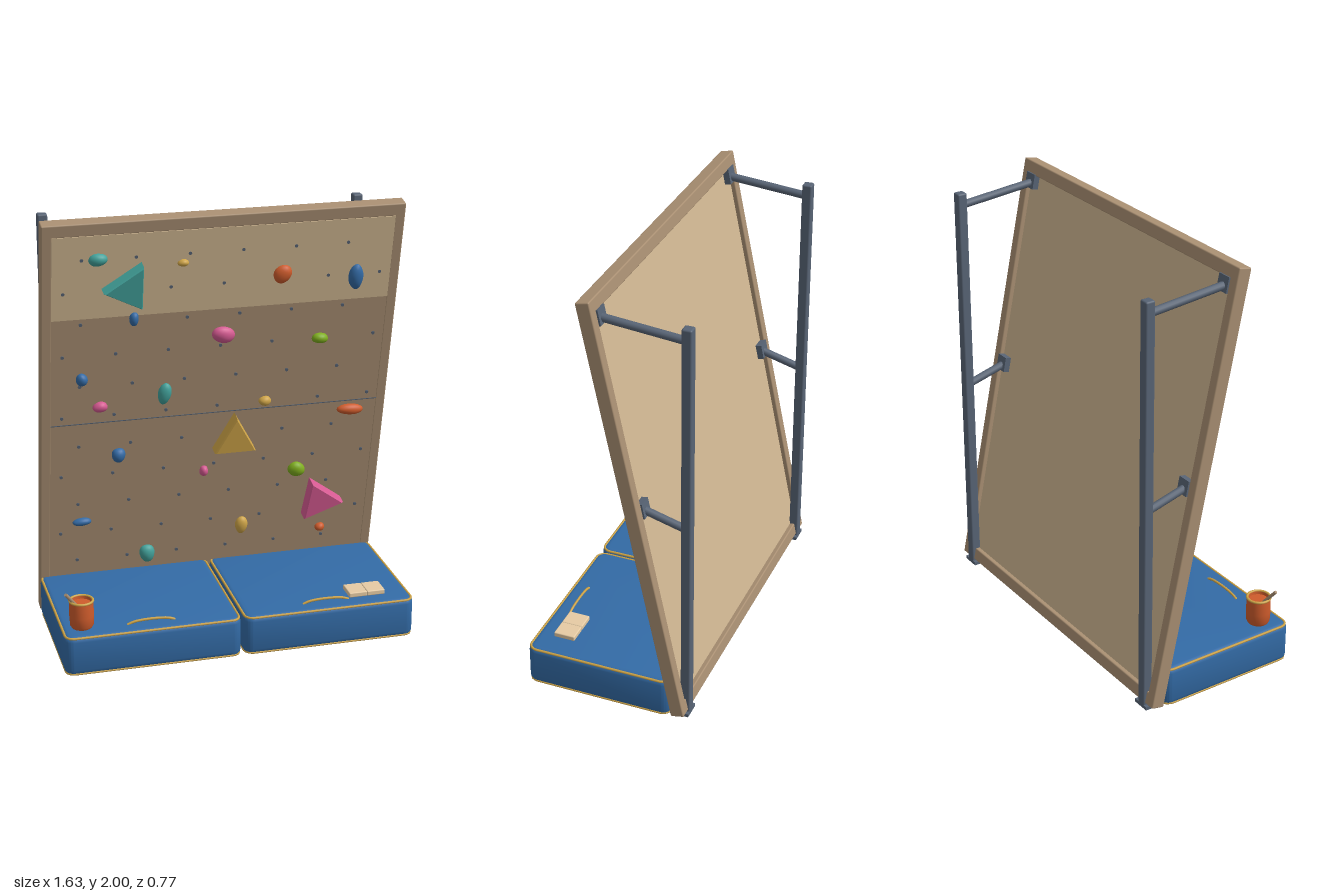
import * as THREE from 'three';
import { mergeGeometries, mergeVertices, toCreasedNormals } from 'three/addons/utils/BufferGeometryUtils.js';
import { RoundedBoxGeometry } from 'three/addons/geometries/RoundedBoxGeometry.js';

const material = (name, color) => {
  const m = new THREE.MeshStandardMaterial({ color });
  m.name = name;
  return m;
};

const TILT = 0.2042, FOOT_Y = 0.012, WALL_H = 2.017, WALL_T = 0.063;

export function createModel() {
  const wood = material('frame wood', 0xa98f72);
  const ply = material('light plywood', 0xd0b792);
  const steel = material('steel', 0x586475);
  const blue = material('blue', 0x336ba6);
  const gold = material('gold', 0xcfa548);
  const orange = material('orange', 0xcf5c2c);
  const teal = material('teal', 0x42a29b);
  const pink = material('pink', 0xd65a92);
  const green = material('green', 0x7fae1e);
  const chalkWhite = material('chalk', 0xe6cba4);

  const model = new THREE.Group();
  model.name = 'climbingWall';
  const add = (parent, name, geometry, mat, x = 0, y = 0, z = 0) => {
    const mesh = new THREE.Mesh(geometry, mat);
    mesh.name = name;
    mesh.position.set(x, y, z);
    parent.add(mesh);
    return mesh;
  };
  const box = (w, h, d) => new THREE.BoxGeometry(w, h, d);
  const rbox = (w, h, d, r) => new RoundedBoxGeometry(w, h, d, 2, r);

  // Leaning wall: local y runs up the slope, the climbing face is at local z = 0
  const wall = new THREE.Group();
  wall.name = 'wall';
  wall.position.set(0, FOOT_Y, -0.315);
  wall.rotation.x = TILT;
  model.add(wall);
  const up = (y) => (y - FOOT_Y) / Math.cos(TILT);

  for (const s of [-1, 1]) add(wall, 'sideRail', rbox(0.048, WALL_H, WALL_T, 0.006), wood, s * 0.791, WALL_H / 2, -WALL_T / 2);
  for (const y of [0.03, WALL_H - 0.03]) add(wall, 'crossRail', rbox(1.63, 0.06, WALL_T, 0.006), wood, 0, y, -WALL_T / 2);
  add(wall, 'frontBoard', box(1.56, WALL_H - 0.08, 0.02), wood, 0, WALL_H / 2, -0.011);
  add(wall, 'backBoard', box(1.56, WALL_H - 0.08, 0.02), ply, 0, WALL_H / 2, -0.031);
  add(wall, 'lightBand', box(1.54, 0.4, 0.004), ply, 0, up(1.735), 0.001);
  add(wall, 'boardSeam', box(1.54, 0.004, 0.003), steel, 0, up(1.01), -0.0005);

  // Staggered grid of bolt holes
  const dots = [];
  for (let row = 0; row < 11; row++) {
    const even = row % 2 === 0;
    for (let i = 0; i < (even ? 6 : 7); i++) {
      const dot = new THREE.CylinderGeometry(0.008, 0.008, 0.005, 8).rotateX(Math.PI / 2);
      dots.push(dot.translate((even ? -0.64 : -0.72) + i * 0.24, up(1.82 - row * 0.1545), 0.002));
    }
  }
  add(wall, 'boltHoles', mergeGeometries(dots), steel);

  // Lumpy rounded holds: colour, x, world y, width, height, roll
  const pebble = (seed) => {
    const g = new THREE.IcosahedronGeometry(1, 3);
    g.deleteAttribute('normal');
    g.deleteAttribute('uv');
    const merged = mergeVertices(g);
    const p = merged.attributes.position;
    for (let i = 0; i < p.count; i++) {
      const x = p.getX(i), y = p.getY(i), z = p.getZ(i);
      const k = 1 + 0.07 * Math.sin(2.6 * x + seed) * Math.cos(2.2 * y - seed * 1.7);
      p.setXYZ(i, x * k, y * k, z * k);
    }
    merged.computeVertexNormals();
    return merged;
  };
  const holds = [
    [teal, -0.57, 1.82, 0.085, 0.058, 0.1], [gold, -0.19, 1.778, 0.05, 0.033, 0],
    [orange, 0.265, 1.69, 0.083, 0.088, 0], [blue, 0.61, 1.65, 0.067, 0.122, 0],
    [blue, -0.402, 1.523, 0.043, 0.068, 0], [pink, 0.01, 1.41, 0.106, 0.08, 0],
    [green, 0.466, 1.353, 0.08, 0.05, -0.1], [blue, -0.632, 1.24, 0.053, 0.06, 0],
    [pink, -0.545, 1.093, 0.068, 0.05, 0], [teal, -0.25, 1.135, 0.06, 0.106, -0.1],
    [gold, 0.227, 1.05, 0.058, 0.047, 0], [blue, -0.455, 0.833, 0.065, 0.073, 0],
    [orange, 0.645, 0.965, 0.128, 0.053, 0], [pink, -0.047, 0.703, 0.042, 0.053, 0],
    [green, 0.405, 0.663, 0.083, 0.073, -0.2], [blue, -0.62, 0.488, 0.088, 0.038, 0],
    [gold, 0.153, 0.38, 0.058, 0.09, 0], [orange, 0.55, 0.32, 0.048, 0.042, 0],
    [teal, -0.304, 0.275, 0.074, 0.095, 0.1],
  ];
  holds.forEach(([mat, x, y, w, h, roll], i) => {
    const hold = add(wall, 'hold', pebble(i * 1.3), mat, x, up(y), 0.004);
    hold.scale.set(w / 2, h / 2, Math.min(0.03, 0.012 + Math.min(w, h) * 0.28));
    hold.rotation.z = roll;
  });

  // Triangular volumes: corners as x, world y
  const volumes = [
    [teal, [-0.55, 1.68], [-0.376, 1.592], [-0.376, 1.795]],
    [gold, [-0.011, 0.82], [0.185, 0.82], [0.085, 1.0]],
    [pink, [0.45, 0.408], [0.64, 0.482], [0.476, 0.605]],
  ];
  for (const [mat, ...corners] of volumes) {
    const shape = new THREE.Shape(corners.map(([x, y]) => new THREE.Vector2(x, up(y))));
    const g = new THREE.ExtrudeGeometry(shape, {
      depth: 0.054, bevelThickness: 0.008, bevelSize: 0.006, bevelOffset: -0.006, bevelSegments: 1,
    });
    add(wall, 'triangleVolume', g, mat);
  }

  // Rear support posts with struts and brackets
  const strut = (x, a, b) => {
    const A = new THREE.Vector3(x, ...a), B = new THREE.Vector3(x, ...b);
    const m = add(model, 'strut', new THREE.CylinderGeometry(0.018, 0.018, A.distanceTo(B), 12), steel);
    m.position.copy(A).lerp(B, 0.5);
    m.quaternion.setFromUnitVectors(new THREE.Vector3(0, 1, 0), B.sub(A).normalize());
  };
  for (const s of [-1, 1]) {
    const x = s * 0.737;
    add(model, 'post', rbox(0.046, 1.93, 0.046, 0.008), steel, x, 0.965, -0.361);
    add(model, 'footPlate', box(0.085, 0.016, 0.085), steel, x, 0.008, -0.341);
    strut(x, [1.905, 0.03], [1.87, -0.355]);
    strut(x, [1.028, -0.15], [0.972, -0.355]);
    for (const y of [1.9, 1.02]) add(wall, 'bracket', box(0.066, 0.07, 0.03), steel, x, up(y), -0.055);
  }

  // Crash pads with piping around the top and bottom edges
  const roundedRect = (w, h, r) => {
    const a = w / 2, b = h / 2, q = Math.PI / 2;
    const s = new THREE.Shape();
    s.absarc(a - r, b - r, r, 0, q);
    s.absarc(r - a, b - r, r, q, 2 * q);
    s.absarc(r - a, r - b, r, 2 * q, 3 * q);
    s.absarc(a - r, r - b, r, 3 * q, 4 * q);
    s.closePath();
    return s;
  };
  const PAD_H = 0.188, BEVEL = 0.025;
  for (const s of [-1, 1]) {
    const pad = new THREE.Group();
    pad.name = 'crashPad';
    pad.position.set(s * 0.411, 0.006, 0.038);
    pad.rotation.x = -Math.PI / 2;
    model.add(pad);
    const g = new THREE.ExtrudeGeometry(roundedRect(0.81, 0.69, 0.045), {
      depth: PAD_H - 2 * BEVEL, bevelThickness: BEVEL, bevelSize: BEVEL, bevelOffset: -BEVEL,
      bevelSegments: 4, curveSegments: 6,
    });
    add(pad, 'padBody', toCreasedNormals(g, 0.6), blue, 0, 0, BEVEL);
    const outline = roundedRect(0.796, 0.676, 0.038).getSpacedPoints(120).slice(0, -1);
    const path = new THREE.CatmullRomCurve3(outline.map((p) => new THREE.Vector3(p.x, p.y, 0)), true);
    for (const z of [0.007, PAD_H - 0.007]) add(pad, 'piping', new THREE.TubeGeometry(path, 160, 0.006, 6, true), gold, 0, 0, z);
    // Carry handle lying on the pad
    const handle = new THREE.CatmullRomCurve3([
      [-0.11, 0.192, 0], [-0.08, 0.203, 0], [0, 0.209, 0], [0.08, 0.203, 0], [0.11, 0.192, 0],
    ].map((p) => new THREE.Vector3(...p)));
    add(model, 'padHandle', new THREE.TubeGeometry(handle, 20, 0.006, 6), gold, s * 0.41, 0, 0.305);
  }

  // Chalk bucket with a brush
  const bucket = new THREE.Group();
  bucket.name = 'chalkBucket';
  bucket.position.set(-0.72, 0.194, 0.272);
  model.add(bucket);
  const profile = [[0, 0], [0.046, 0], [0.053, 0.012], [0.056, 0.06], [0.053, 0.128], [0.046, 0.128], [0.044, 0.115], [0, 0.115]];
  const body = new THREE.LatheGeometry(profile.map(([x, y]) => new THREE.Vector2(x, y)), 24);
  add(bucket, 'bucketBody', toCreasedNormals(body, 0.6), orange);
  add(bucket, 'bucketRim', new THREE.TorusGeometry(0.052, 0.006, 8, 24).rotateX(Math.PI / 2), gold, 0, 0.128, 0);
  const brush = add(bucket, 'brushHandle', new THREE.CylinderGeometry(0.008, 0.008, 0.11, 8), wood, -0.045, 0.138, 0.018);
  brush.quaternion.setFromUnitVectors(new THREE.Vector3(0, 1, 0), new THREE.Vector3(-0.55, 0.75, 0.3).normalize());

  // Pair of chalk blocks
  for (const s of [-1, 1]) add(model, 'chalkBlock', rbox(0.086, 0.024, 0.1, 0.005), chalkWhite, 0.612 + s * 0.043, 0.205, 0.25);

  return model;
}
